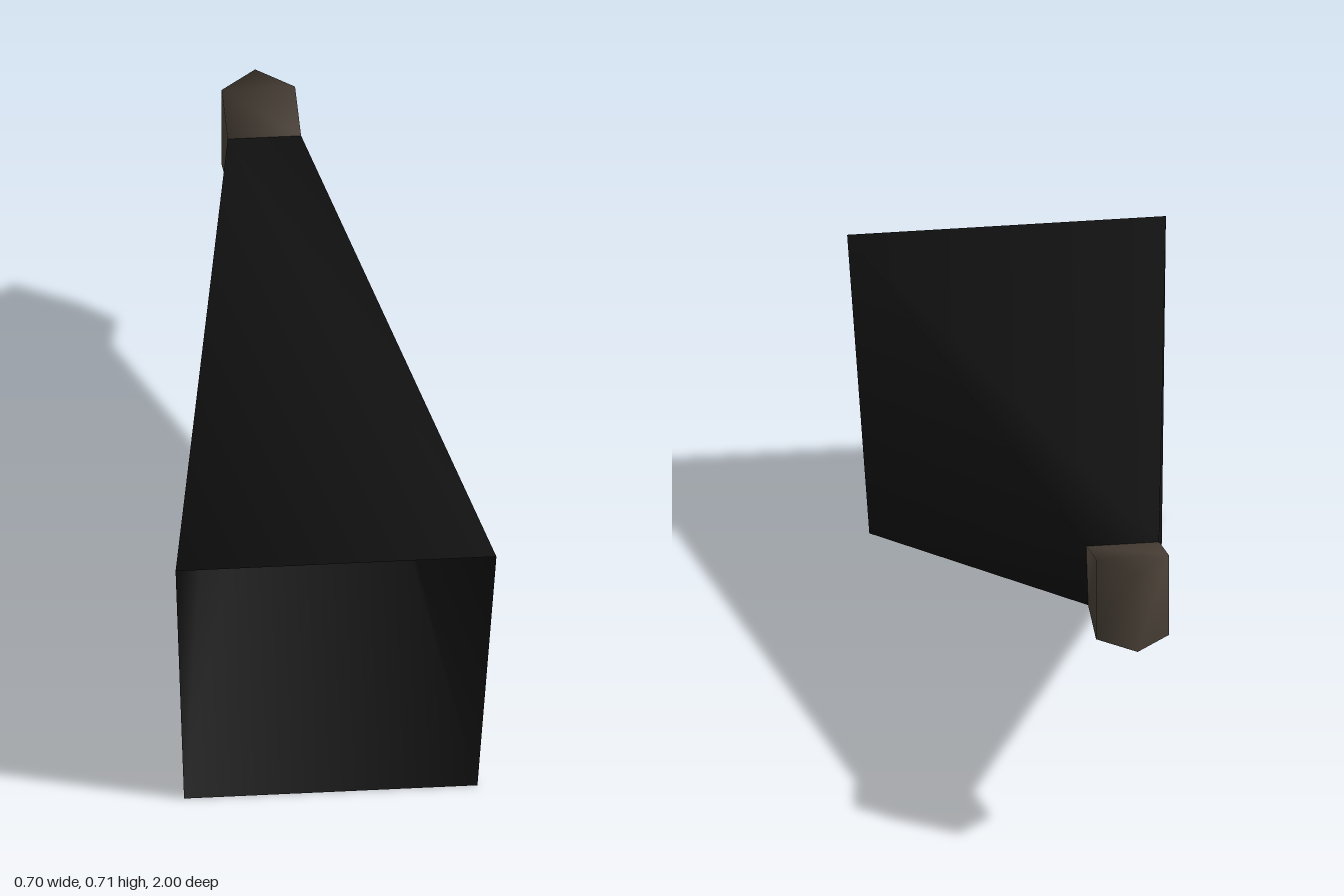
import * as THREE from 'three';

const paint = (name, color) => {
  const m = new THREE.MeshStandardMaterial({ color, side: THREE.DoubleSide });
  m.name = name;
  return m;
};

// Smooth surface from shared corners and four-sided or three-sided faces
function surface(name, points, faces, material) {
  const g = new THREE.BufferGeometry();
  g.setAttribute('position', new THREE.Float32BufferAttribute(points.flat(), 3));
  g.setIndex(faces.flatMap(([a, b, c, d]) => (d === undefined ? [a, b, c] : [a, b, c, a, c, d])));
  g.computeVertexNormals();
  const mesh = new THREE.Mesh(g, material);
  mesh.name = name;
  return mesh;
}

// Four corners of a cross-section, anticlockwise seen from the front
const ring = (topX, topY, topZ, botX, botY, botZ) => [
  [topX, topY, topZ], [-topX, topY, topZ], [-botX, botY, botZ], [botX, botY, botZ],
];

export function createModel() {
  const black = paint('black', 0x111111);
  const brown = paint('dark brown', 0x453c33);
  const red = paint('red', 0xe05a58);

  const mouth = ring(0.35, 0.655, 1, 0.32, 0, 0.87);
  const neck = ring(0.08, 0.68, -0.77, 0.08, 0.553, -0.8);
  const rim = ring(0.08, 0.715, -0.92, 0.08, 0.525, -0.92);

  const model = new THREE.Group();
  model.name = 'viewingHood';

  // Tapered tube, open at the wide front
  const walls = [0, 1, 2, 3].map((i) => [i, i + 4, ((i + 1) % 4) + 4, (i + 1) % 4]);
  model.add(surface('taperedTube', [...mouth, ...neck], walls, black));

  // Red pane closing the narrow end
  model.add(surface('redPane', neck, [[0, 1, 2, 3]], red));

  // Wedge-ended cover behind the pane, open underneath
  const cover = [...neck, ...rim, [0, 0.715, -1], [0, 0.525, -1]];
  model.add(surface('endCover', cover, [
    [0, 4, 5, 1], [4, 8, 5], // top
    [1, 5, 6, 2], [5, 8, 9, 6], // right side
    [3, 7, 4, 0], [7, 9, 8, 4], // left side
  ], brown));

  return model;
}
